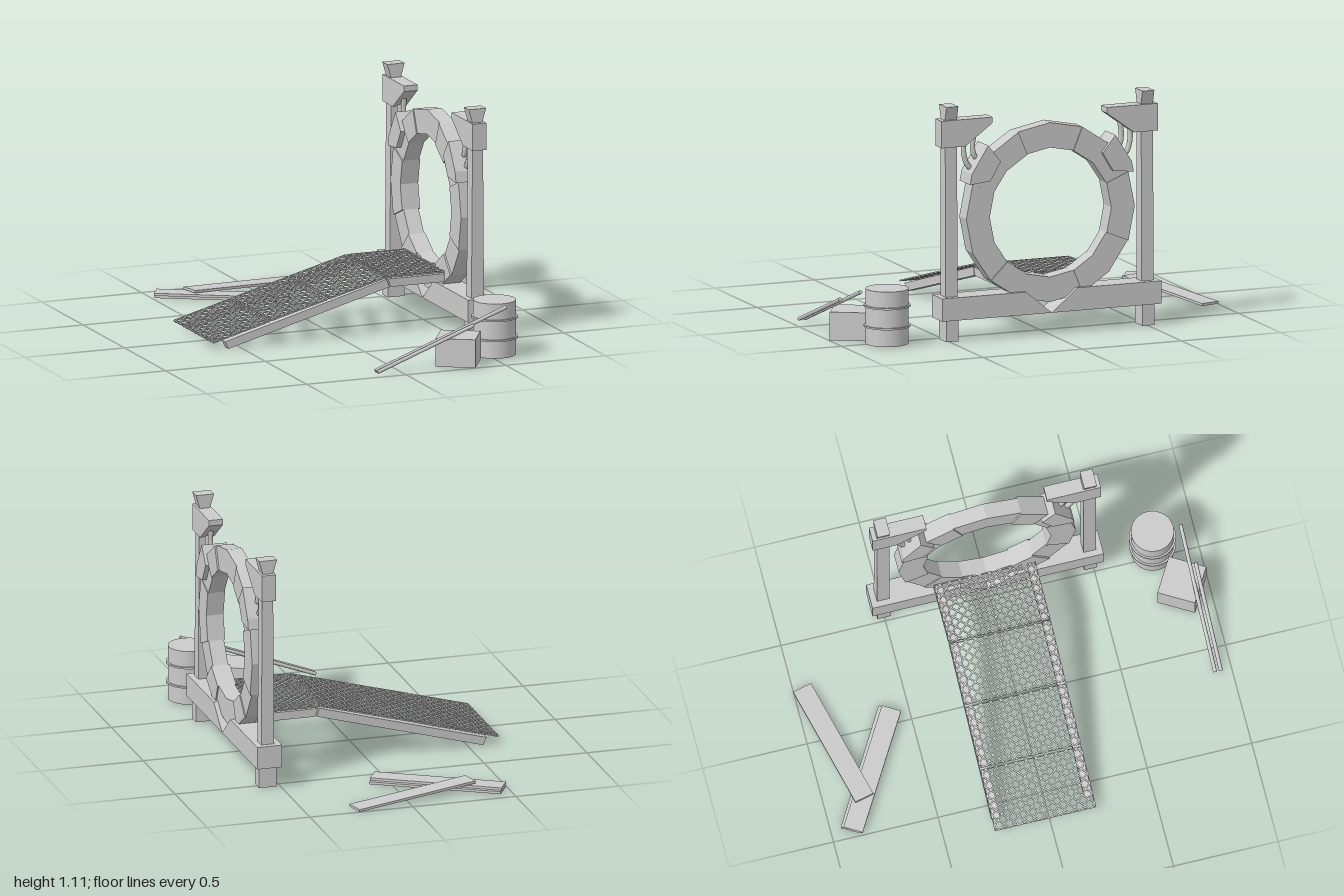
import * as THREE from 'three';

const material = new THREE.MeshStandardMaterial({ color: 0xcccccc, flatShading: true });
const smooth = new THREE.MeshStandardMaterial({ color: 0xcccccc });

function add(parent, name, geometry, mat = material) {
  const mesh = new THREE.Mesh(geometry, mat);
  mesh.name = name;
  parent.add(mesh);
  return mesh;
}

function box(parent, name, w, h, d, x, y, z) {
  const mesh = add(parent, name, new THREE.BoxGeometry(w, h, d));
  mesh.position.set(x, y, z);
  return mesh;
}

function slab(points, depth) {
  const shape = new THREE.Shape(points.map(([x, y]) => new THREE.Vector2(x, y)));
  return new THREE.ExtrudeGeometry(shape, { depth, bevelEnabled: false });
}

// Profile of [x, y] points, extruded from z0 to z1
const slabZ = (points, z0, z1) => slab(points, z1 - z0).translate(0, 0, z0);

// Profile of [z, y] points, extruded from x0 to x1
const slabX = (points, x0, x1) =>
  slab(points.map(([z, y]) => [-z, y]), x1 - x0).rotateY(Math.PI / 2).translate(x0, 0, 0);

// Stone ring made of wedge blocks of slightly different depth
function buildRing() {
  const ring = new THREE.Group();
  ring.name = 'ring';
  const count = 16, step = Math.PI * 2 / count;
  for (let i = 0; i < count; i++) {
    const at = (r, a) => [Math.cos(a) * r, 0.573 + Math.sin(a) * r];
    const a = i * step, b = a + step;
    const half = [0.042, 0.037, 0.045, 0.039][(i * 3 + (i >> 2)) % 4];
    add(ring, 'ringBlock', slabX([at(0.306, a), at(0.424, a), at(0.424, b), at(0.306, b)], 0.56 - half, 0.56 + half));
  }
  return ring;
}

// Post, bracket, clamp, cables and half beam; s is the side along z
function buildFrameSide(s) {
  const side = new THREE.Group();
  side.name = s > 0 ? 'frontFrameSide' : 'backFrameSide';
  const flip = (pts) => pts.map(([z, y]) => [z * s, y]);
  const z0 = Math.min(0.464 * s, 0.524 * s), z1 = z0 + 0.06;
  add(side, 'post', slabZ([[0.527, 0], [0.593, 0], [0.586, 1.045], [0.535, 1.045]], z0, z1));
  box(side, 'foot', 0.085, 0.1, 0.062, 0.56, 0.05, 0.494 * s);
  add(side, 'finial', slabZ([[0.534, 1.045], [0.584, 1.045], [0.602, 1.11], [0.515, 1.11]], z0, z1));
  add(side, 'beamHalf', slabX(flip([[0.0, 0.102], [0.553, 0.102], [0.553, 0.21], [0.13, 0.21]]), 0.5, 0.62));
  add(side, 'bracket', slabX(flip([[0.546, 0.917], [0.546, 1.045], [0.288, 1.045], [0.288, 1.018], [0.425, 0.917]]), 0.526, 0.595));
  add(side, 'clamp', slabX(flip([[0.321, 0.917], [0.257, 0.837], [0.31, 0.748], [0.413, 0.738], [0.402, 0.789]]), 0.497, 0.62));
  const paths = [
    [[0.42, 0.94], [0.418, 0.87], [0.4, 0.82], [0.365, 0.79]],
    [[0.365, 0.98], [0.375, 0.91], [0.365, 0.86], [0.33, 0.845]],
  ];
  for (const path of paths) {
    const curve = new THREE.CatmullRomCurve3(path.map(([z, y]) => new THREE.Vector3(0.56, y, z * s)));
    add(side, 'cable', new THREE.TubeGeometry(curve, 14, 0.013, 8), smooth);
  }
  return side;
}

// Grating panel: crossed diagonal wires clipped to a framed rectangle
function buildPanel(length, width) {
  const panel = new THREE.Group();
  panel.name = 'gratingPanel';
  const h = length / 2, w = width / 2, pitch = 0.048, wire = 0.0075;
  for (const dir of [1, -1]) {
    for (let c = -h - w + pitch / 2; c < h + w; c += pitch) {
      const t0 = Math.max(-w, -h - c), t1 = Math.min(w, h - c);
      if (t1 - t0 < 0.008) continue;
      const t = (t0 + t1) / 2;
      const bar = box(panel, 'wire', (t1 - t0) * Math.SQRT2, 0.006, wire, c + t, 0, dir * t);
      bar.rotation.y = -dir * Math.PI / 4;
    }
  }
  for (const s of [-1, 1]) {
    box(panel, 'panelEdge', length, 0.007, 0.005, 0, 0, s * (w - 0.0025));
    box(panel, 'panelEnd', 0.005, 0.007, width, s * (h - 0.0025), 0, 0);
  }
  return panel;
}

// Sloping ramp with a level landing on two pairs of rails
function buildRamp() {
  const ramp = new THREE.Group();
  ramp.name = 'ramp';
  const spans = [
    [-0.644, 0.04, -0.362, 0.117],
    [-0.354, 0.12, -0.072, 0.196],
    [-0.063, 0.199, 0.22, 0.275],
    [0.226, 0.275, 0.52, 0.275],
  ];
  for (const [x0, y0, x1, y1] of spans) {
    const panel = buildPanel(Math.hypot(x1 - x0, y1 - y0), 0.485);
    panel.position.set((x0 + x1) / 2, (y0 + y1) / 2, 0);
    panel.rotation.z = Math.atan2(y1 - y0, x1 - x0);
    ramp.add(panel);
  }
  for (const z of [-0.242, 0.202]) {
    add(ramp, 'slopeRail', slabZ([[-0.586, 0.04], [-0.57, 0.004], [0.24, 0.226], [0.225, 0.265]], z, z + 0.04));
    add(ramp, 'landingRail', slabZ([[0.232, 0.265], [0.246, 0.226], [0.53, 0.226], [0.53, 0.265]], z, z + 0.04));
  }
  ramp.position.z = -0.022;
  return ramp;
}

// Drum with two raised hoops
function buildBarrel() {
  const barrel = new THREE.Group();
  barrel.name = 'barrel';
  add(barrel, 'drum', new THREE.CylinderGeometry(0.1, 0.1, 0.26, 32), smooth).position.y = 0.135;
  for (const y of [0.09, 0.185]) {
    add(barrel, 'hoop', new THREE.CylinderGeometry(0.109, 0.109, 0.008, 32), smooth).position.y = y;
  }
  barrel.position.set(0.533, 0, 0.785);
  return barrel;
}

// Round bar between two points
function buildRod(parent, from, to) {
  const a = new THREE.Vector3(...from), b = new THREE.Vector3(...to);
  const rod = add(parent, 'leaningRod', new THREE.CylinderGeometry(0.009, 0.009, a.distanceTo(b), 12), smooth);
  rod.position.copy(a).add(b).multiplyScalar(0.5);
  rod.quaternion.setFromUnitVectors(new THREE.Vector3(0, 1, 0), b.sub(a).normalize());
}

export function createModel() {
  const model = new THREE.Group();
  model.name = 'ringGate';

  const gate = new THREE.Group();
  gate.name = 'gate';
  gate.position.z = -0.009;
  gate.add(buildRing(), buildFrameSide(1), buildFrameSide(-1));
  model.add(gate, buildRamp(), buildBarrel());

  // Crate and rods beside the barrel
  box(model, 'crate', 0.186, 0.134, 0.181, 0.314, 0.067, 0.871).rotation.y = -0.53;
  buildRod(model, [-0.122, 0.012, 0.92], [0.536, 0.257, 0.92]);
  buildRod(model, [-0.122, 0.012, 0.948], [0.36, 0.192, 0.948]);

  // Loose planks: x, y, z, turn about y, tilt about z
  const planks = [
    [-0.195, 0.007, -0.752, -0.53, 0],
    [-0.203, 0.021, -0.74, -0.535, 0],
    [-0.034, 0.023, -0.884, 0.234, -0.052],
  ];
  for (const [x, y, z, turn, tilt] of planks) {
    box(model, 'plank', 0.626, 0.012, 0.093, x, y, z).rotation.set(0, turn, tilt);
  }
  return model;
}
